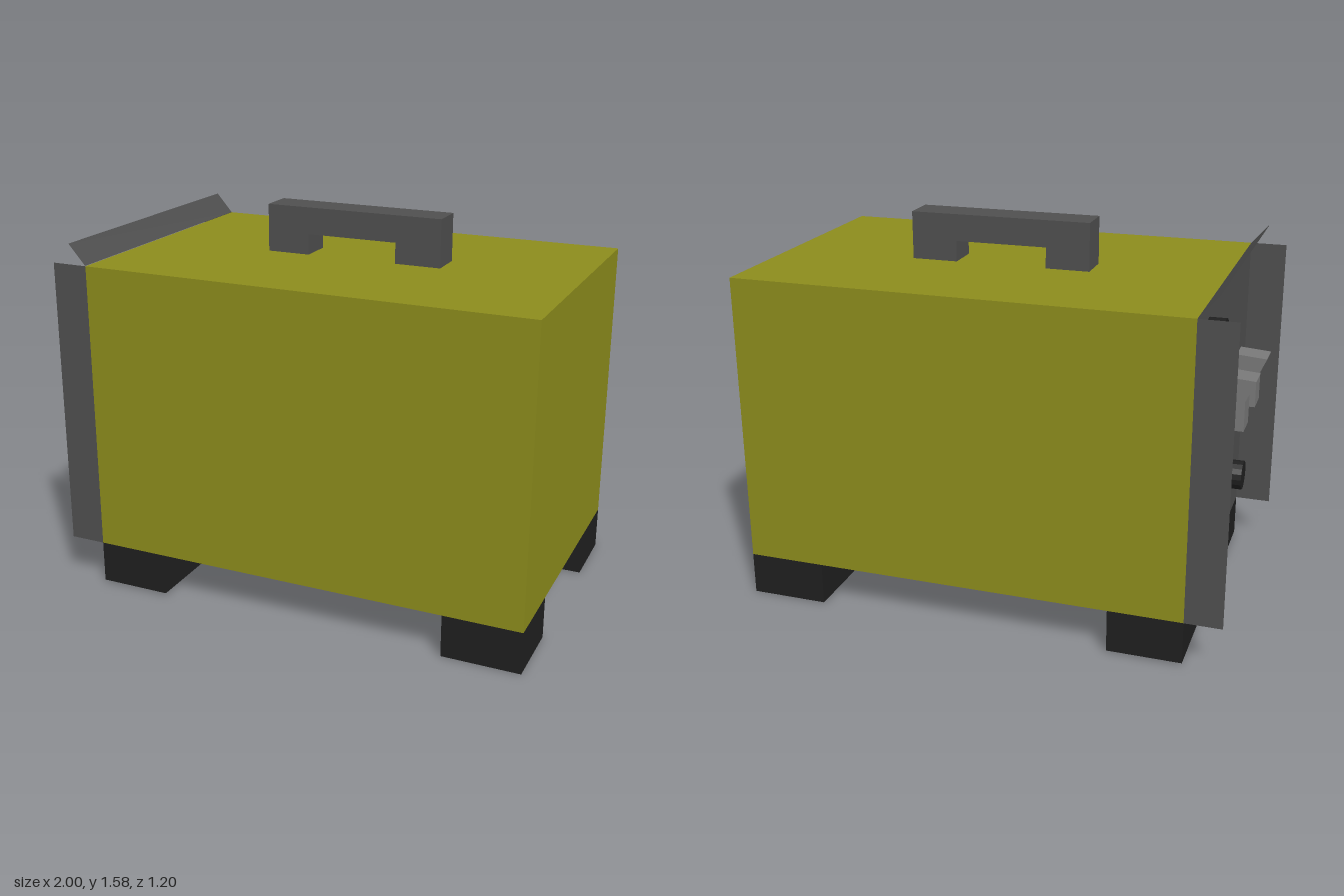
import * as THREE from 'three';

const mat = (color) => new THREE.MeshStandardMaterial({ color, flatShading: true, side: THREE.DoubleSide });

export function createModel() {
  const model = new THREE.Group();
  const olive = mat(0x8c8c1c), grey = mat(0x4f4f4f), black = mat(0x1f1f1f);
  const metal = mat(0x787878), pale = mat(0xa0a0a0);

  const add = (name, geometry, material) => {
    const mesh = new THREE.Mesh(geometry, material);
    mesh.name = name;
    model.add(mesh);
    return mesh;
  };
  // Box given by its lower and upper corners
  const box = (name, material, x0, y0, z0, x1, y1, z1) =>
    add(name, new THREE.BoxGeometry(x1 - x0, y1 - y0, z1 - z0), material)
      .position.set((x0 + x1) / 2, (y0 + y1) / 2, (z0 + z1) / 2);
  // Profile in x and y, extruded from z0 to z1
  const extrude = (name, material, points, z0, z1) => {
    const shape = new THREE.Shape(points.map(([x, y]) => new THREE.Vector2(x, y)));
    const geometry = new THREE.ExtrudeGeometry(shape, { depth: z1 - z0, bevelEnabled: false });
    add(name, geometry, material).position.z = z0;
  };

  // Case, with the control panel on its -x end face
  const bottom = 0.18, top = 1.38, end = -0.85, half = 0.6;
  const caseMaterials = [olive, grey, olive, olive, olive, olive];
  box('case', caseMaterials, end, bottom, -half, 0.99, top, half);

  // Feet, their soles in the case colour
  const footMaterials = [black, black, black, olive, black, black];
  for (const [x0, x1] of [[end, -0.55], [0.67, 0.99]])
    for (const z0 of [-half, 0.3])
      box('foot', footMaterials, x0, 0.005, z0, x1, bottom, z0 + 0.3);

  // Carrying handle
  extrude('handle', grey, [
    [-0.32, top], [-0.14, top], [-0.14, 1.465], [0.24, 1.465],
    [0.24, top], [0.43, top], [0.43, 1.575], [-0.32, 1.575],
  ], -0.09, 0.05);

  // Thin side flaps and tilted top flap around the panel
  for (const side of [-1, 1])
    add('sideFlap', new THREE.PlaneGeometry(0.15, top - bottom), grey)
      .position.set(end - 0.075, (top + bottom) / 2, side * half);
  const topFlap = add('topFlap', new THREE.PlaneGeometry(0.11, 2 * half).rotateX(-Math.PI / 2), grey);
  topFlap.position.set(end - 0.0375, top + 0.0425, 0);
  topFlap.rotation.z = -Math.atan2(0.085, 0.075);

  // Pale strips on the panel
  for (const y of [0.79, 0.33])
    box('panelStrip', pale, end - 0.008, y, -0.3, end, y + 0.14, 0.3);

  // Round knobs: y, z, radius, material
  for (const [y, z, radius, material] of [
    [1.24, -0.37, 0.08, black], [0.82, -0.36, 0.08, metal],
    [0.42, -0.25, 0.063, black], [0.42, 0.31, 0.063, black],
  ]) {
    const knob = add('knob', new THREE.CylinderGeometry(radius, radius, 0.065, 16), material);
    knob.rotation.z = Math.PI / 2;
    knob.position.set(end - 0.0325, y, z);
  }

  // Switch levers
  for (const z of [0.06, 0.36])
    extrude('lever', metal, [
      [end, 0.72], [-0.94, 0.72], [-0.94, 0.85], [-0.98, 0.94], [end, 0.95],
    ], z, z + 0.115);

  // The whole body leans very slightly
  model.rotation.z = -0.0045;
  return model;
}
